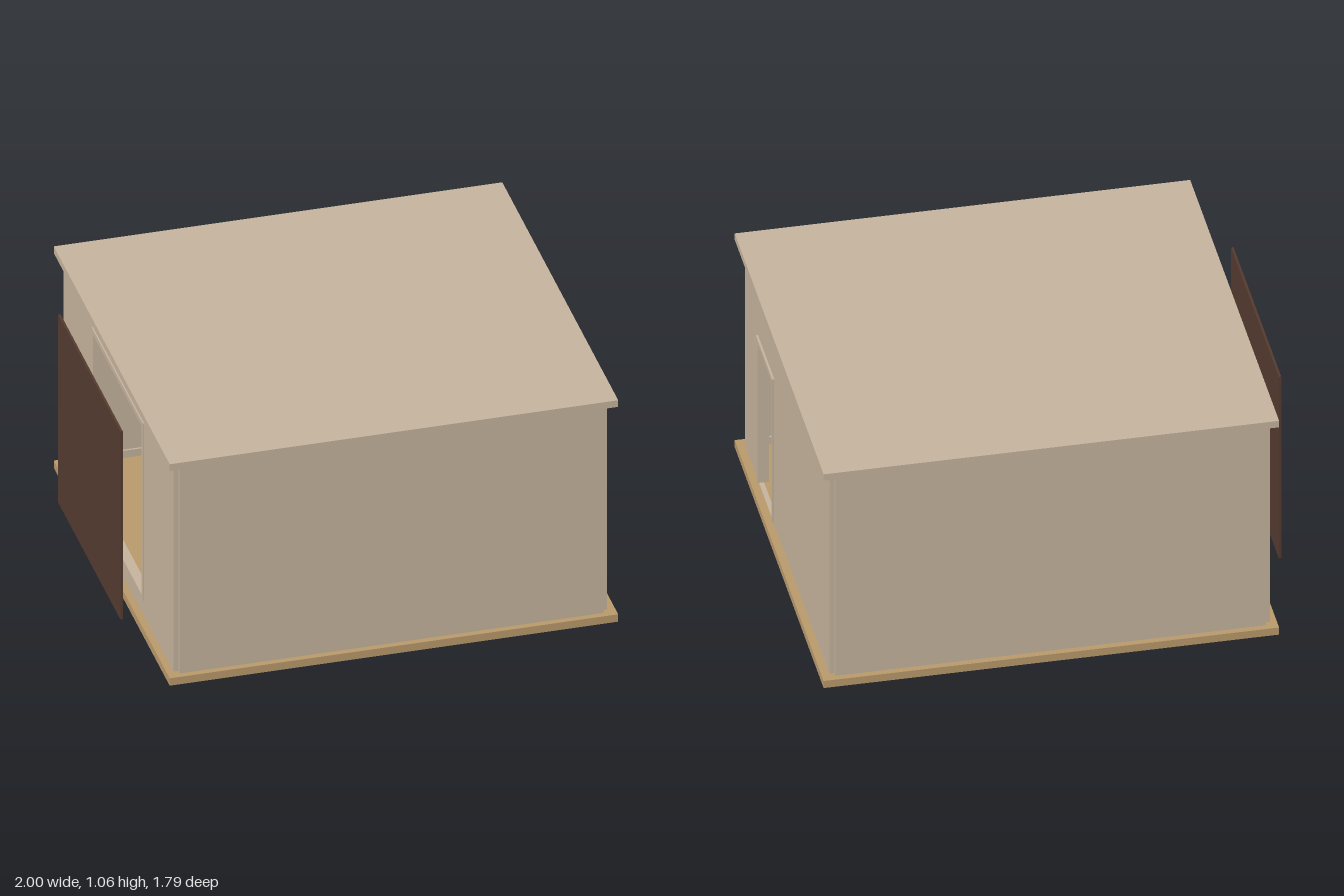
import * as THREE from 'three';

const mat = (name, color) => {
  const m = new THREE.MeshStandardMaterial({ color });
  m.name = name;
  return m;
};

export function createModel() {
  const plaster = mat('tan plaster', 0xc4b29c);
  const wood = mat('light wood', 0xb8986b);
  const darkBrown = mat('dark brown', 0x533a2f);
  const metal = mat('dark metal', 0x3a342e);

  const room = new THREE.Group();
  room.name = 'room';

  // Box given by its minimum and maximum corners
  const box = (name, material, x0, x1, y0, y1, z0, z1, parent = room) => {
    const mesh = new THREE.Mesh(new THREE.BoxGeometry(x1 - x0, y1 - y0, z1 - z0), material);
    mesh.position.set((x0 + x1) / 2, (y0 + y1) / 2, (z0 + z1) / 2);
    mesh.name = name;
    parent.add(mesh);
    return mesh;
  };

  // Floor and roof slabs
  const floorY = 0.035, roofY = 1.028;
  box('floor', wood, -0.905, 1, 0, floorY, -0.893, 0.893);
  box('roof', plaster, -0.905, 1, roofY, 1.06, -0.893, 0.893);

  // Front and back walls, leaving notched corners
  for (const s of [1, -1]) {
    const z = s * 0.855;
    box(s > 0 ? 'frontWall' : 'backWall', plaster, -0.855, 0.945, floorY, roofY, z - 0.011, z + 0.011);
  }

  // Side walls with one rectangular opening each
  const sideWall = (name, outerX, z0, z1, y0, y1) => {
    const shape = new THREE.Shape([
      [-0.845, floorY], [0.845, floorY], [0.845, roofY], [-0.845, roofY],
    ].map(p => new THREE.Vector2(...p)));
    shape.holes.push(new THREE.Path([
      [z0, y0], [z0, y1], [z1, y1], [z1, y0],
    ].map(p => new THREE.Vector2(...p))));
    const geo = new THREE.ExtrudeGeometry(shape, { depth: 0.021, bevelEnabled: false });
    const mesh = new THREE.Mesh(geo, plaster);
    mesh.rotation.y = -Math.PI / 2;
    mesh.position.x = outerX;
    mesh.name = name;
    room.add(mesh);
  };
  sideWall('doorWall', 0.966, 0.28, 0.57, 0.036, 0.74);
  sideWall('windowWall', -0.855, -0.375, 0.375, 0.13, 0.94);

  // Door frame: slim jambs and a wider head
  box('doorJamb', plaster, 0.925, 0.973, floorY, 0.738, 0.568, 0.578);
  box('doorJamb', plaster, 0.925, 0.973, floorY, 0.738, 0.272, 0.282);
  box('doorHead', plaster, 0.925, 0.975, 0.735, 0.755, 0.26, 0.59);

  // Vent slats above the door
  for (let i = 0; i < 9; i++) {
    const z = 0.32 + i * 0.0215;
    box('ventSlat', metal, 0.932, 0.94, 0.722, 0.736, z - 0.007, z + 0.007);
  }

  // Door standing ajar, hinged at its rear edge
  const door = new THREE.Group();
  door.name = 'door';
  door.position.set(0.955, 0, 0.285);
  door.rotation.y = -0.33;
  room.add(door);
  box('doorLeaf', wood, -0.018, 0, 0.04, 0.722, 0, 0.277, door);
  for (const s of [1, -1]) {
    const x = s > 0 ? 0.009 : -0.027;
    const stem = new THREE.Mesh(new THREE.CylinderGeometry(0.005, 0.005, 0.018, 12), metal);
    stem.rotation.z = Math.PI / 2;
    stem.position.set(x, 0.34, 0.25);
    stem.name = 'knobStem';
    const knob = new THREE.Mesh(new THREE.SphereGeometry(0.01, 16, 12), metal);
    knob.position.set(x + s * 0.01, 0.34, 0.25);
    knob.name = 'doorKnob';
    door.add(stem, knob);
  }
  for (const y of [0.15, 0.38, 0.61]) {
    const hinge = new THREE.Mesh(new THREE.CylinderGeometry(0.004, 0.004, 0.045, 10), metal);
    hinge.position.set(0.958, y, 0.283);
    hinge.name = 'hinge';
    room.add(hinge);
  }

  // Window frame lining the opening
  const fx0 = -0.882, fx1 = -0.84;
  for (const s of [1, -1]) {
    const z = s * 0.384;
    box('windowJamb', plaster, fx0, fx1, 0.11, 0.96, z - 0.011, z + 0.011);
  }
  box('windowSill', plaster, fx0, fx1, 0.11, 0.132, -0.373, 0.373);
  box('windowHead', plaster, fx0, fx1, 0.938, 0.96, -0.373, 0.373);

  // Skirting along the inside of the solid walls
  for (const s of [1, -1]) {
    const z = s * 0.84;
    box('skirting', plaster, -0.855, 0.94, floorY, 0.07, z - 0.005, z + 0.005);
  }
  box('skirting', plaster, -0.856, -0.846, floorY, 0.07, -0.835, 0.835);

  // Free-standing panel outside the window
  box('outerPanel', darkBrown, -1, -0.99, 0.09, 0.99, -0.48, 0.48);

  return room;
}
